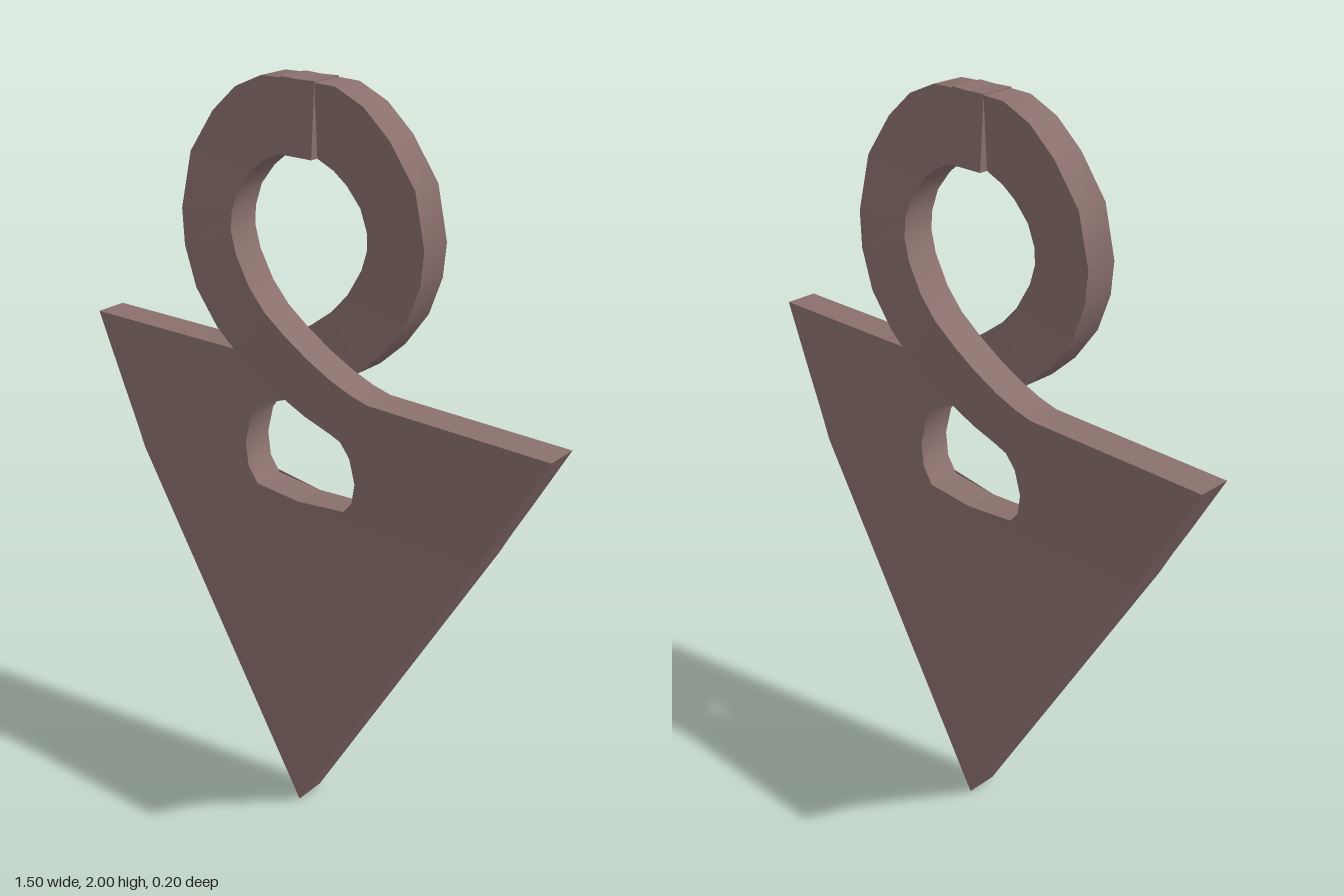
import * as THREE from 'three';
import { mergeGeometries, toCreasedNormals } from 'three/addons/utils/BufferGeometryUtils.js';

const HALF_THICKNESS = 0.045;

// Cross-sections of one half: hole-side edge (x, y), then outer edge (x, y)
const SECTIONS = [
  // Blade
  [0, 0, 0, 0], [0, 0.93, 0.55, 0.93], [0.14, 0.94, 0.59, 1.0], [0.175, 0.98, 0.65, 1.1],
  [0.19, 1.04, 0.75, 1.27], [0.18, 1.11, 0.45, 1.273], [0.155, 1.15, 0.25, 1.275],
  // Crossing strand
  [0.12, 1.165, 0.2, 1.288], [0.05, 1.19, 0.14, 1.312], [0, 1.215, 0.07, 1.35],
  [-0.07, 1.255, 0, 1.395], [-0.15, 1.305, -0.06, 1.44], [-0.22, 1.37, -0.11, 1.493],
  // Upper loop
  [-0.285, 1.46, -0.155, 1.565], [-0.325, 1.56, -0.175, 1.62], [-0.34, 1.65, -0.178, 1.665],
  [-0.325, 1.79, -0.165, 1.72], [-0.26, 1.895, -0.13, 1.77], [-0.19, 1.96, -0.095, 1.8],
  [-0.11, 1.995, -0.05, 1.822], [0.05, 2, 0.05, 1.822],
];

// Forward bend of the sheet as a function of height
const BEND = [[0, 0], [0.93, 0], [1.27, 0.045], [1.36, 0.052], [1.46, 0.054], [1.6, 0.045],
  [1.72, 0.027], [1.83, 0.01], [1.94, 0], [2, 0]];

function bendAt(y) {
  let i = 1;
  while (i < BEND.length - 1 && y > BEND[i][0]) i++;
  const [y0, z0] = BEND[i - 1], [y1, z1] = BEND[i];
  return THREE.MathUtils.lerp(z0, z1, (y - y0) / (y1 - y0));
}

function fromPositions(positions) {
  const geometry = new THREE.BufferGeometry();
  geometry.setAttribute('position', new THREE.Float32BufferAttribute(positions, 3));
  geometry.computeVertexNormals();
  return geometry;
}

function createHalfGeometry() {
  const faces = [], edges = [];
  const quad = (out, a, b, c, d) => out.push(...a, ...b, ...c, ...a, ...c, ...d);
  const point = (x, y, side) => [x, y, bendAt(y) + side * HALF_THICKNESS];
  const rings = SECTIONS.map(([ax, ay, bx, by]) => ({
    aF: point(ax, ay, 1), bF: point(bx, by, 1), aB: point(ax, ay, -1), bB: point(bx, by, -1),
  }));

  for (let i = 0; i < rings.length - 1; i++) {
    const p = rings[i], q = rings[i + 1];
    if (i === 0) {
      // The blade starts at a single tip point
      faces.push(...p.aF, ...q.bF, ...q.aF, ...p.aB, ...q.aB, ...q.bB);
    } else {
      quad(faces, p.aF, p.bF, q.bF, q.aF);
      quad(faces, p.bB, p.aB, q.aB, q.bB);
    }
    quad(edges, p.bF, p.bB, q.bB, q.bF);
    quad(edges, p.aB, p.aF, q.aF, q.aB);
  }
  // End face at the top of the loop
  const end = rings[rings.length - 1];
  quad(edges, end.aF, end.bF, end.bB, end.aB);

  // Flat broad faces, smooth rounded edges
  return mergeGeometries([fromPositions(faces), toCreasedNormals(fromPositions(edges), 0.6)]);
}

export function createModel() {
  const model = new THREE.Group();
  model.name = 'loopedPendant';
  const material = new THREE.MeshStandardMaterial({ color: 0x8a706c });
  const geometry = createHalfGeometry();

  // Two identical halves, half a turn apart around the vertical axis
  ['frontCrossingHalf', 'backCrossingHalf'].forEach((name, i) => {
    const half = new THREE.Mesh(geometry, material);
    half.name = name;
    half.rotation.y = i * Math.PI;
    model.add(half);
  });
  return model;
}
